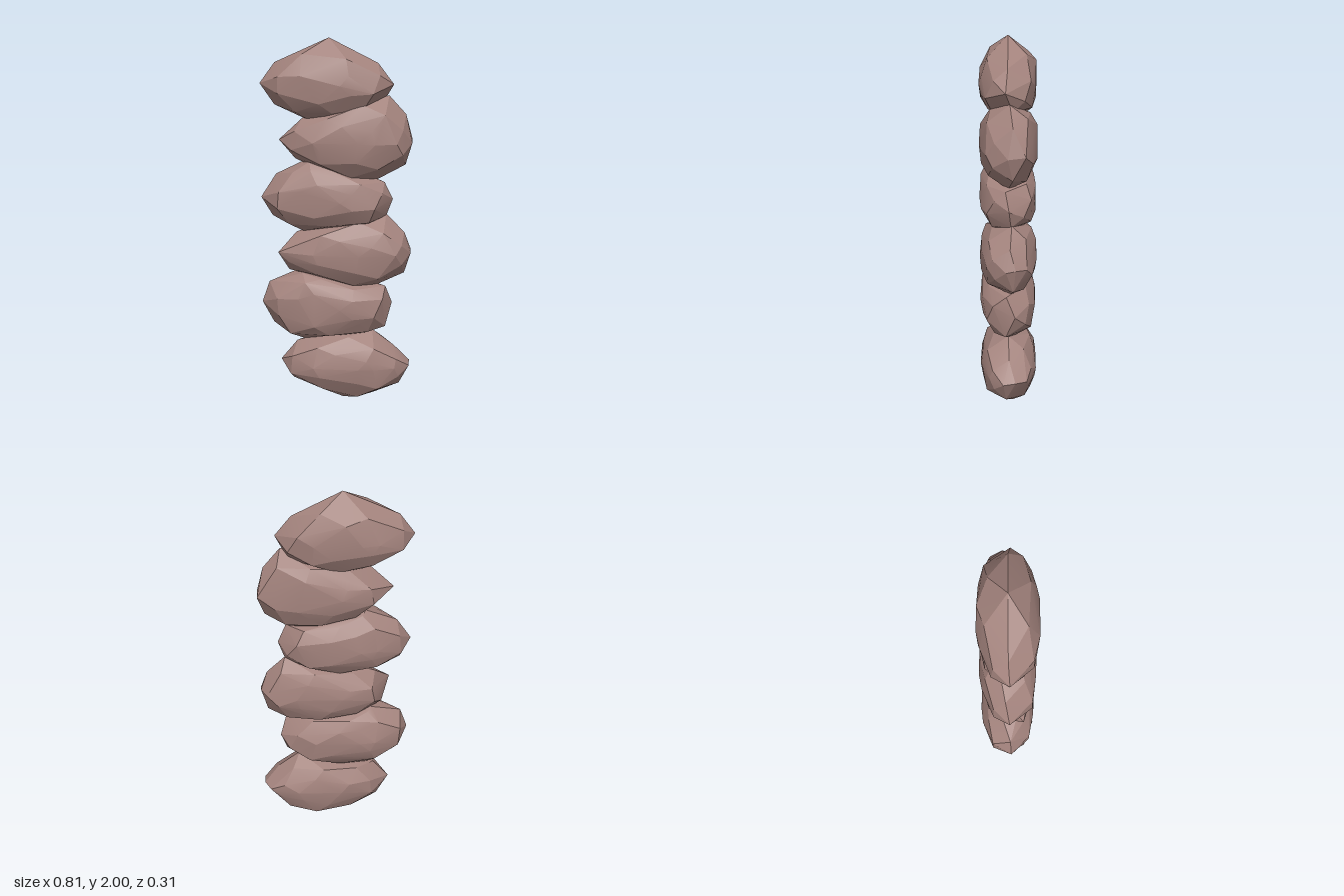
import * as THREE from 'three';
import { toCreasedNormals } from 'three/addons/utils/BufferGeometryUtils.js';
import { ConvexGeometry } from 'three/addons/geometries/ConvexGeometry.js';

// Front outline of each boulder (x, y, optional z), from bottom to top; neighbours sink into each other.
// Doubled points give a blunt end or a broad hump.
const outlines = [
  [[-0.31, 0.215], [-0.22, 0.325], [-0.05, 0.385], [0.2, 0.405], [0.32, 0.315], [0.405, 0.22, -0.03], [0.405, 0.21, 0.035], [0.35, 0.1], [0.22, 0.03], [0.04, 0, 0], [-0.24, 0.1]],
  [[-0.41, 0.555, 0.01], [-0.37, 0.67], [-0.2, 0.735, -0.05], [-0.18, 0.735, 0.06], [0.02, 0.715], [0.27, 0.66], [0.305, 0.555, -0.03], [0.27, 0.43], [0.13, 0.37], [-0.18, 0.335], [-0.35, 0.43]],
  [[-0.31, 0.855, 0.08], [-0.22, 0.95], [0, 1.03], [0.27, 1.06], [0.37, 0.96], [0.405, 0.86, -0.03], [0.405, 0.85, 0.02], [0.37, 0.73], [0.2, 0.65], [0, 0.675], [-0.26, 0.74]],
  [[-0.41, 1.145, 0], [-0.33, 1.27], [-0.16, 1.35, -0.05], [-0.14, 1.35, 0.06], [0.12, 1.295], [0.26, 1.24], [0.305, 1.145], [0.27, 1.05], [0.14, 0.985], [-0.18, 0.96], [-0.35, 1.04]],
  [[-0.31, 1.46], [-0.18, 1.58], [0.03, 1.655], [0.28, 1.70], [0.37, 1.60], [0.405, 1.46, -0.08], [0.405, 1.45, 0.01], [0.37, 1.33], [0.19, 1.235], [-0.02, 1.27], [-0.22, 1.36]],
  [[-0.41, 1.76, 0], [-0.33, 1.87], [-0.04, 2, 0], [0.22, 1.87], [0.305, 1.76], [0.24, 1.65], [0.1, 1.595], [-0.12, 1.555], [-0.33, 1.65]],
];

// Faceted boulder: outline ring, staggered inner rings and a low cap on each side
function boulderGeometry(outline, index) {
  const cx = index % 2 ? -0.05 : 0.05;
  const cy = outline[0][1];
  const points = [];
  const add = (x, y, scale, z) =>
    points.push(new THREE.Vector3(cx + (x - cx) * scale, cy + (y - cy) * scale, z));

  outline.forEach(([x, y, z = 0.02 * Math.sin(x * 17 + y * 23)], i) => {
    const [nx, ny] = outline[(i + 1) % outline.length];
    const mx = (x + nx) / 2, my = (y + ny) / 2;
    add(x, y, 1, z);
    for (const side of [-1, 1]) {
      const wobble = Math.sin(i * 1.9 + index * 2.3 + side);
      if ((i + index + (side > 0 ? 1 : 0)) % 2) {
        add(mx, my, 0.91, side * (0.085 + 0.008 * wobble));
        add(x, y, 0.46, side * (0.143 + 0.005 * wobble));
      } else {
        add(mx, my, 0.78, side * (0.115 + 0.007 * wobble));
      }
    }
  });
  // Crown of the front and back faces
  for (const side of [-1, 1]) add(cx + 0.08 * side, cy, 1, side * 0.155);
  return toCreasedNormals(new ConvexGeometry(points), 0.3);
}

export function createModel() {
  const group = new THREE.Group();
  group.name = 'boulderStack';
  const material = new THREE.MeshStandardMaterial({ color: 0xa3837d });
  outlines.forEach((outline, i) => {
    const boulder = new THREE.Mesh(boulderGeometry(outline, i), material);
    boulder.name = `boulder${i + 1}`;
    group.add(boulder);
  });
  return group;
}
